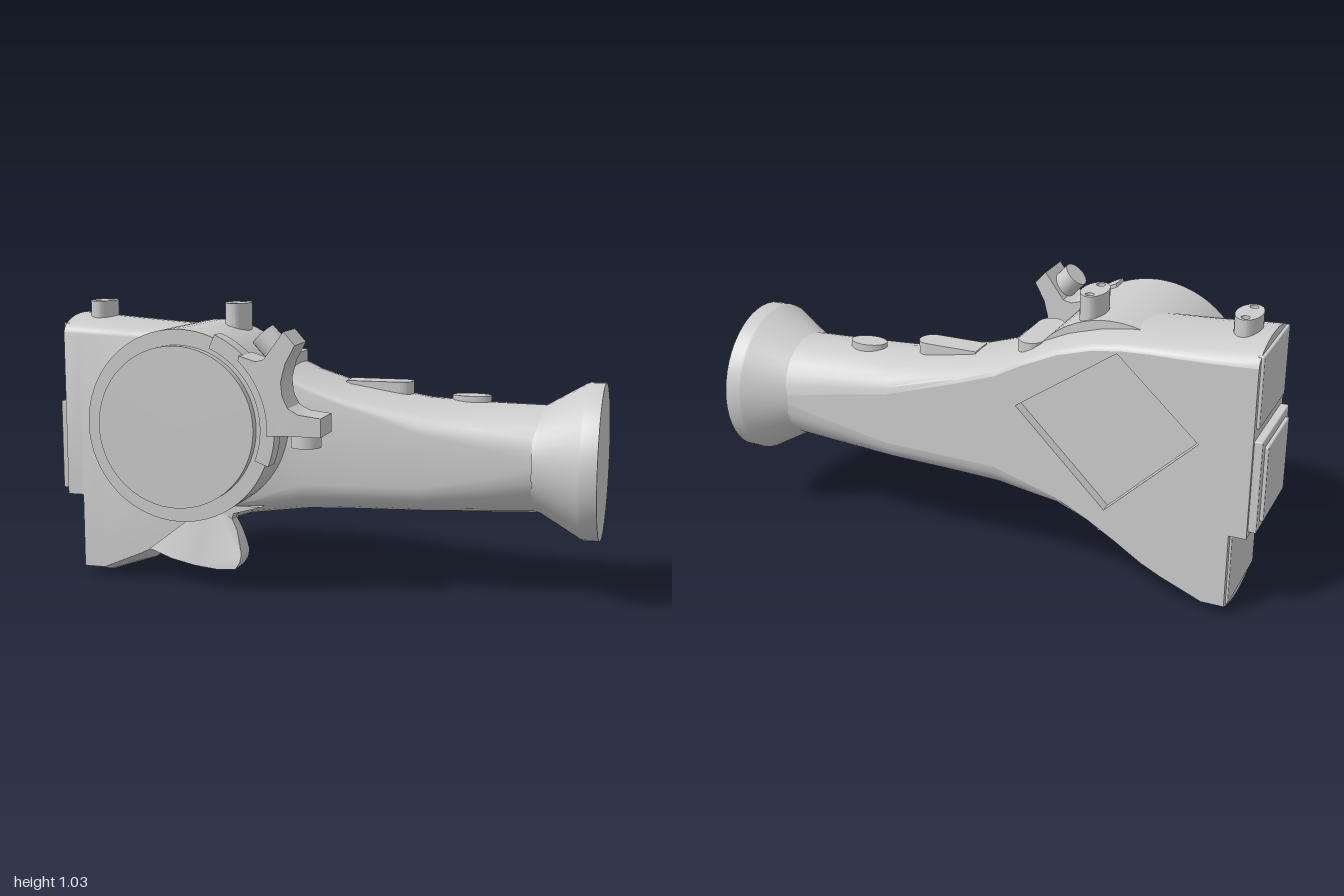
import * as THREE from 'three';
import { toCreasedNormals } from 'three/addons/utils/BufferGeometryUtils.js';
import { RoundedBoxGeometry } from 'three/addons/geometries/RoundedBoxGeometry.js';

const mat = new THREE.MeshStandardMaterial({ color: 0xcccccc });
const Z_FRONT = 0.107, Z_BACK = -0.26, Z_MID = (Z_FRONT + Z_BACK) / 2, HALF = (Z_FRONT - Z_BACK) / 2;

// Body stations along x: [x, crown, side top, side bottom, belly]
const STATIONS = [
  [-0.96, 0.98, 0.915, 0.31, 0.31], [-0.9, 0.976, 0.912, 0.31, 0.31],
  [-0.9, 0.976, 0.912, 0.037, 0], [-0.82, 0.968, 0.908, 0.037, 0],
  [-0.67, 0.956, 0.905, 0.1, 0.05], [-0.6, 0.951, 0.905, 0.135, 0.1],
  [-0.5, 0.945, 0.9, 0.2, 0.155], [-0.4, 0.93, 0.885, 0.26, 0.205],
  [-0.28, 0.895, 0.85, 0.32, 0.245], [-0.15, 0.835, 0.79, 0.36, 0.262],
  [-0.05, 0.79, 0.735, 0.39, 0.275], [0.1, 0.745, 0.68, 0.395, 0.282],
  [0.38, 0.7, 0.59, 0.4, 0.29], [0.6, 0.69, 0.55, 0.44, 0.297], [0.8, 0.687, 0.51, 0.48, 0.305],
];
// Diamond recess in the back face
const POCKET = [[-0.49, 0.89], [-0.13, 0.64], [-0.46, 0.31], [-0.78, 0.62]];
const POCKET_Z = -0.22;

const vecs = (pts) => pts.map(([x, y]) => new THREE.Vector2(x, y));

function add(parent, name, geometry, x = 0, y = 0, z = 0) {
  const mesh = new THREE.Mesh(geometry, mat);
  mesh.name = name;
  mesh.position.set(x, y, z);
  parent.add(mesh);
  return mesh;
}

function extrude(shape, depth) {
  const g = new THREE.ExtrudeGeometry(shape, { depth, bevelEnabled: false, curveSegments: 16 });
  return toCreasedNormals(g, 0.5);
}

// Prism standing along y, drawn in plan (shape y points to the back)
const upright = (shape, height) => extrude(shape, height).rotateX(-Math.PI / 2);

function fromTriangles(pos, crease) {
  const g = new THREE.BufferGeometry();
  g.setAttribute('position', new THREE.Float32BufferAttribute(pos, 3));
  g.computeVertexNormals();
  return toCreasedNormals(g, crease);
}

// Loft with arched crown and belly (shallow bellies get a flatter arc);
// the back flat is left open for the recessed plate
function bodyShell() {
  const N = 14, pos = [];
  const rings = STATIONS.map(([x, top, sideTop, sideBot, bot]) => {
    const ring = [], power = THREE.MathUtils.clamp(2.3 - (sideBot - bot) / 0.08, 1, 2);
    for (let half = 0; half < 2; half++) {
      for (let i = 0; i <= N; i++) {
        const a = Math.PI * (i / N), s = half ? -1 : 1, arc = Math.max(0, Math.sin(a));
        const y = half ? sideBot + (bot - sideBot) * arc ** power : sideTop + (top - sideTop) * arc;
        ring.push([x, y, Z_MID + s * HALF * Math.cos(a)]);
      }
    }
    return ring;
  });
  const count = rings[0].length;
  for (let k = 0; k < rings.length - 1; k++) {
    for (let i = 0; i < count; i++) {
      if (i === N) continue;
      const j = (i + 1) % count, a = rings[k], b = rings[k + 1];
      pos.push(...a[i], ...b[i], ...b[j], ...a[i], ...b[j], ...a[j]);
    }
  }
  for (let i = 1; i < count - 1; i++) pos.push(...rings[0][0], ...rings[0][i], ...rings[0][i + 1]);
  return fromTriangles(pos, 0.55);
}

// Flat back side with the diamond hole, facing -z
function backFace() {
  const upper = STATIONS.map((s) => [-s[0], s[2]]);
  const lower = STATIONS.map((s) => [-s[0], s[3]]).reverse();
  const shape = new THREE.Shape(vecs([...upper, ...lower]));
  shape.holes.push(new THREE.Path(vecs(POCKET.map(([x, y]) => [-x, y]))));
  return new THREE.ShapeGeometry(shape).rotateY(Math.PI);
}

// Walls and floor of the recess
function pocketGeometry() {
  const pos = [];
  POCKET.forEach(([x, y], i) => {
    const [u, v] = POCKET[(i + 1) % 4];
    const a = [x, y, Z_BACK], b = [u, v, Z_BACK], c = [u, v, POCKET_Z], d = [x, y, POCKET_Z];
    pos.push(...a, ...c, ...b, ...a, ...d, ...c);
  });
  const f = POCKET.map(([x, y]) => [x, y, POCKET_Z]);
  pos.push(...f[0], ...f[1], ...f[2], ...f[0], ...f[2], ...f[3]);
  return fromTriangles(pos, 0.3);
}

function capsulePlan(length, width, squareStart) {
  const r = width / 2, l = length / 2, s = new THREE.Shape();
  s.moveTo(l - r, -r);
  s.absarc(l - r, 0, r, -Math.PI / 2, Math.PI / 2);
  if (squareStart) {
    s.lineTo(-l, r);
    s.lineTo(-l, -r);
  } else s.absarc(-l + r, 0, r, Math.PI / 2, Math.PI * 1.5);
  return s;
}

export function createModel() {
  const model = new THREE.Group();
  model.name = 'handheldScanner';

  // Head and handle in one shell, with a recessed back
  add(model, 'bodyShell', bodyShell());
  const openMat = mat.clone();
  openMat.side = THREE.DoubleSide;
  add(model, 'bodyBack', backFace(), 0, 0, Z_BACK).material = openMat;
  add(model, 'backRecess', pocketGeometry()).material = openMat;

  // Flared end of the handle
  const flare = vecs([[0.186, 0.77], [0.19, 0.79], [0.275, 0.935], [0.278, 0.945], [0.278, 1], [0, 1]]);
  const flareGeo = toCreasedNormals(new THREE.LatheGeometry(flare, 48), 0.4).rotateZ(-Math.PI / 2);
  add(model, 'handleFlare', flareGeo, 0, 0.493, -0.07);

  // Round drum with its raised front disc
  const drumProfile = vecs([[0, -0.155], [0.34, -0.155], [0.34, 0.312], [0.285, 0.312], [0.285, 0.347], [0, 0.347]]);
  const drum = toCreasedNormals(new THREE.LatheGeometry(drumProfile, 64), 0.4).rotateX(Math.PI / 2);
  add(model, 'drum', drum, -0.435, 0.617, 0);

  // Rib around part of the drum
  const rib = new THREE.Shape();
  rib.absarc(0, 0, 0.352, -0.37, 1.17, false);
  rib.absarc(0, 0, 0.3, 1.17, -0.37, true);
  add(model, 'drumRib', extrude(rib, 0.072), -0.435, 0.617, 0.245);

  // Forked bracket hugging the drum
  const fork = new THREE.Shape(vecs([
    [-0.2, 0.875], [-0.14, 0.857], [-0.11, 0.865], [-0.04, 0.96], [0, 0.915],
    [-0.035, 0.85], [-0.05, 0.79], [-0.045, 0.74], [-0.025, 0.7], [0.01, 0.68], [0.09, 0.67],
    [0.09, 0.605], [-0.05, 0.605], [-0.1, 0.6],
  ]));
  fork.absarc(-0.435, 0.617, 0.335, 0, 0.8, false);
  add(model, 'forkBracket', extrude(fork, 0.14), 0, 0, 0.21);
  const upperKnob = add(model, 'upperKnob', new THREE.CylinderGeometry(0.047, 0.047, 0.08, 24), -0.105, 0.915, 0.28);
  upperKnob.rotation.z = 0.75;
  add(model, 'lowerKnob', new THREE.CylinderGeometry(0.053, 0.053, 0.05, 24), 0.02, 0.585, 0.28);

  // Hooked trigger under the head: flared front layer and narrower rear layer
  const hook = new THREE.Shape(vecs([
    [-0.62, 0.13], [-0.6, 0.125], [-0.53, 0.1], [-0.44, 0.08], [-0.35, 0.07], [-0.285, 0.075], [-0.268, 0.1],
    [-0.263, 0.13], [-0.275, 0.17], [-0.29, 0.21], [-0.312, 0.25], [-0.308, 0.27], [-0.26, 0.283], [-0.2, 0.3], [-0.4, 0.3],
  ]));
  const hookGeo = new THREE.ExtrudeGeometry(hook, { depth: 1, bevelEnabled: false });
  const p = hookGeo.attributes.position;
  for (let i = 0; i < p.count; i++) {
    const t = THREE.MathUtils.smoothstep(p.getY(i), 0.1, 0.25);
    p.setZ(i, p.getZ(i) > 0.5 ? 0.157 - 0.05 * t : 0.055);
  }
  add(model, 'triggerHook', toCreasedNormals(hookGeo, 0.5));
  const root = new THREE.Shape(vecs([[-0.62, 0.13], [-0.52, 0.1], [-0.42, 0.09], [-0.36, 0.1], [-0.34, 0.15], [-0.36, 0.2], [-0.3, 0.27], [-0.45, 0.3]]));
  add(model, 'triggerRoot', extrude(root, 0.1), 0, 0, -0.042);

  // Two oval studs with paired holes on the head
  const oval = new THREE.Shape();
  oval.absellipse(0, 0, 0.045, 0.08, 0, Math.PI * 2);
  for (const s of [-1, 1]) {
    const hole = new THREE.Path();
    hole.absarc(0, s * 0.053, 0.015, 0, Math.PI * 2, true);
    oval.holes.push(hole);
  }
  for (const x of [-0.87, -0.338]) add(model, 'topStud', upright(oval, 0.127), x, 0.9, -0.068);

  // Buttons along the top of the handle
  add(model, 'longButton', upright(capsulePlan(0.24, 0.095, true), 0.085), 0.2, 0.67, -0.083);
  const roundPlan = new THREE.Shape();
  roundPlan.absellipse(0, 0, 0.07, 0.045, 0, Math.PI * 2);
  add(model, 'roundButton', upright(roundPlan, 0.042), 0.53, 0.67, -0.09);
  add(model, 'rocker', upright(capsulePlan(0.26, 0.09, false), 0.05).rotateY(Math.PI / 2), -0.145, 0.8, -0.07);

  // Panels on the end of the head: [name, x, y, z, width, height, depth]
  const panels = [
    ['upperPanel', -0.96, 0.825, -0.078, 0.022, 0.25, 0.32],
    ['middlePanel', -0.965, 0.495, -0.078, 0.045, 0.33, 0.335],
    ['middlePanelFace', -0.985, 0.495, -0.078, 0.03, 0.27, 0.265],
    ['lowerPanel', -0.895, 0.17, -0.078, 0.026, 0.27, 0.32],
  ];
  for (const [name, x, y, z, w, h, d] of panels) add(model, name, new RoundedBoxGeometry(w, h, d, 1, 0.004), x, y, z);

  return model;
}
